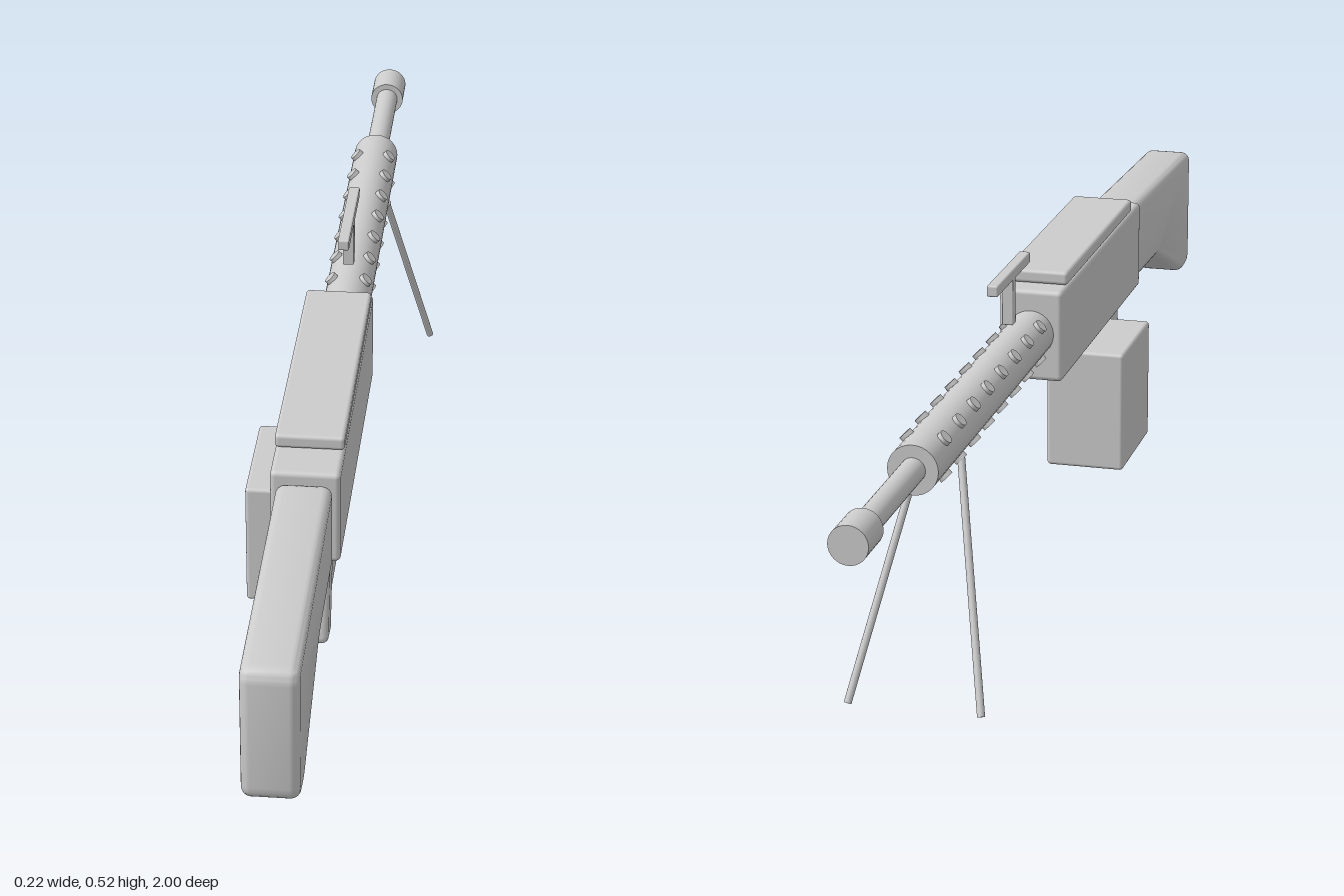
import * as THREE from 'three';
import { RoundedBoxGeometry } from 'three/addons/geometries/RoundedBoxGeometry.js';
import { toCreasedNormals } from 'three/addons/utils/BufferGeometryUtils.js';

const CX = 0.003; // centre line of the body
const AXIS_Y = 0.37; // height of the barrel axis
const material = new THREE.MeshStandardMaterial({ color: 0xcccccc });

export function createModel() {
  const model = new THREE.Group();

  function add(name, geometry, parent = model) {
    const mesh = new THREE.Mesh(geometry, material);
    mesh.name = name;
    parent.add(mesh);
    return mesh;
  }

  // Rounded box given by its limits on each axis
  function box(name, [x0, x1], [y0, y1], [z0, z1], radius) {
    const geometry = new RoundedBoxGeometry(x1 - x0, y1 - y0, z1 - z0, 3, radius);
    add(name, geometry).position.set((x0 + x1) / 2, (y0 + y1) / 2, (z0 + z1) / 2);
  }

  // Side profile in (z, y) with softened corners, extruded across x
  function profile(name, points, width, bevel, corner) {
    const pts = points.map(([z, y]) => new THREE.Vector2(z, y));
    const shape = new THREE.Shape();
    pts.forEach((p, i) => {
      const toward = (q) => p.clone().add(q.clone().sub(p).setLength(corner));
      const a = toward(pts[(i + pts.length - 1) % pts.length]);
      const b = toward(pts[(i + 1) % pts.length]);
      if (i === 0) shape.moveTo(a.x, a.y);
      else shape.lineTo(a.x, a.y);
      shape.quadraticCurveTo(p.x, p.y, b.x, b.y);
    });
    shape.closePath();
    const depth = width - 2 * bevel;
    const geometry = new THREE.ExtrudeGeometry(shape, {
      depth, curveSegments: 5, bevelEnabled: true, bevelSegments: 4,
      bevelThickness: bevel, bevelSize: bevel, bevelOffset: -bevel,
    });
    geometry.translate(0, 0, -depth / 2).rotateY(-Math.PI / 2);
    add(name, toCreasedNormals(geometry, 0.6)).position.x = CX;
  }

  // Cylinder lying along z
  function tube(name, radius, z0, z1) {
    const geometry = new THREE.CylinderGeometry(radius, radius, z1 - z0, 32).rotateX(Math.PI / 2);
    add(name, geometry).position.set(CX, AXIS_Y, (z0 + z1) / 2);
  }

  // Body
  box('receiver', [-0.049, 0.055], [0.291, 0.442], [-0.035, 0.527], 0.008);
  box('topCover', [-0.049, 0.055], [0.443, 0.465], [0, 0.46], 0.006);
  box('magazine', [-0.111, 0.019], [0.086, 0.289], [0.134, 0.331], 0.006);
  profile('stock', [
    [0.53, 0.293], [0.73, 0.288], [0.945, 0.194], [1, 0.202], [1, 0.416], [0.53, 0.432],
  ], 0.083, 0.014, 0.022);
  profile('grip', [
    [0.403, 0.296], [0.403, 0.25], [0.441, 0.111], [0.494, 0.119], [0.452, 0.296],
  ], 0.06, 0.01, 0.012);

  // Trigger
  box('trigger', [-0.002, 0.008], [0.247, 0.254], [0.328, 0.366], 0.002);
  box('triggerStem', [-0.002, 0.008], [0.25, 0.295], [0.329, 0.335], 0.002);

  // Barrel
  tube('barrelJacket', 0.038, -0.697, -0.03);
  tube('barrel', 0.019, -0.94, -0.69);
  tube('muzzle', 0.029, -1, -0.932);

  // Four rows of round studs along the jacket
  const studs = new THREE.Group();
  studs.name = 'jacketStuds';
  model.add(studs);
  const studGeometry = new THREE.CylinderGeometry(0.011, 0.011, 0.014, 14);
  for (let row = 0; row < 4; row++) {
    const angle = Math.PI / 4 + row * Math.PI / 2;
    for (let i = 0; i < 8; i++) {
      const stud = add('stud', studGeometry, studs);
      stud.position.set(CX + 0.037 * Math.cos(angle), AXIS_Y + 0.037 * Math.sin(angle), -0.085 - i * 0.078);
      stud.rotation.z = angle - Math.PI / 2;
    }
  }

  // Sight
  box('sightPost', [-0.006, 0.012], [0.427, 0.505], [-0.177, -0.159], 0.002);
  box('sightBar', [-0.006, 0.012], [0.499, 0.517], [-0.267, -0.07], 0.003);

  // Bipod legs
  for (const side of [-1, 1]) {
    const top = new THREE.Vector3(CX + side * 0.031, 0.345, -0.555);
    const foot = new THREE.Vector3(CX + side * 0.101, 0.003, -0.706);
    const direction = top.clone().sub(foot);
    const leg = add(side > 0 ? 'leftLeg' : 'rightLeg',
      new THREE.CylinderGeometry(0.006, 0.006, direction.length(), 12));
    leg.position.copy(top).add(foot).multiplyScalar(0.5);
    leg.quaternion.setFromUnitVectors(new THREE.Vector3(0, 1, 0), direction.normalize());
  }

  return model;
}
